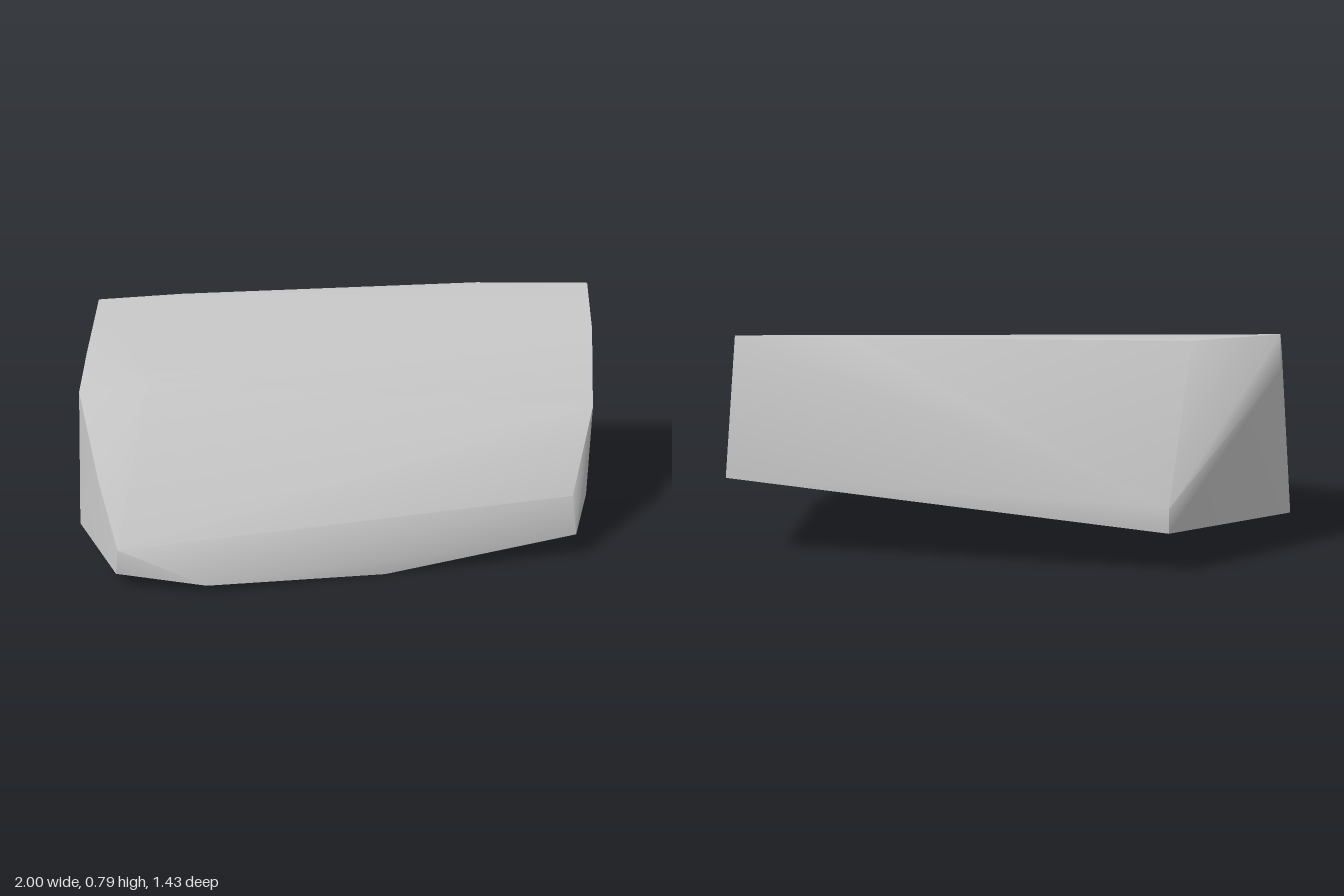
import * as THREE from 'three';
import { ConvexGeometry } from 'three/addons/geometries/ConvexGeometry.js';
import { toCreasedNormals } from 'three/addons/utils/BufferGeometryUtils.js';

// Corner points of the boulder, grouped by the facet they bound
const leftEnd = [
  [1, 0.78, -0.565], [0.995, 0.69, -0.25], [0.98, 0.48, 0.06], [0.895, 0.22, 0.31],
  [0.91, 0.085, 0.36], [0.975, 0.107, 0.04], [1, 0.285, -0.716],
];
const rightEnd = [
  [-0.95, 0.785, -0.255], [-0.955, 0.66, -0.3], [-0.95, 0.675, 0.06], [-0.95, 0.59, 0.26],
  [-0.85, 0.34, 0.51], [-0.76, 0.15, 0.695], [-0.77, 0.055, 0.692],
  [-0.97, 0.06, 0.28], [-1, 0.06, 0],
];
const backRidge = [[0.55, 0.78, -0.555], [-0.64, 0.772, -0.38]];
const backFoot = [[-0.595, 0.145, -0.716], [-0.595, 0.235, -0.716]];
const frontFoot = [[-0.44, 0.025, 0.715], [0.2, 0, 0.548]];
const frontBulge = [[-0.7, 0.617, 0.2]];

export function createModel() {
  const group = new THREE.Group();
  group.name = 'boulder';
  const stone = new THREE.MeshStandardMaterial({ color: 0xc6c6c6 });
  stone.name = 'stone grey';

  const points = [...leftEnd, ...rightEnd, ...backRidge, ...backFoot, ...frontFoot, ...frontBulge]
    .map((p) => new THREE.Vector3(...p));

  // Smooth over the rounded front, sharp at the broken ends and base
  const geometry = toCreasedNormals(new ConvexGeometry(points), 0.75);
  const rock = new THREE.Mesh(geometry, stone);
  rock.name = 'rock';
  group.add(rock);
  return group;
}
